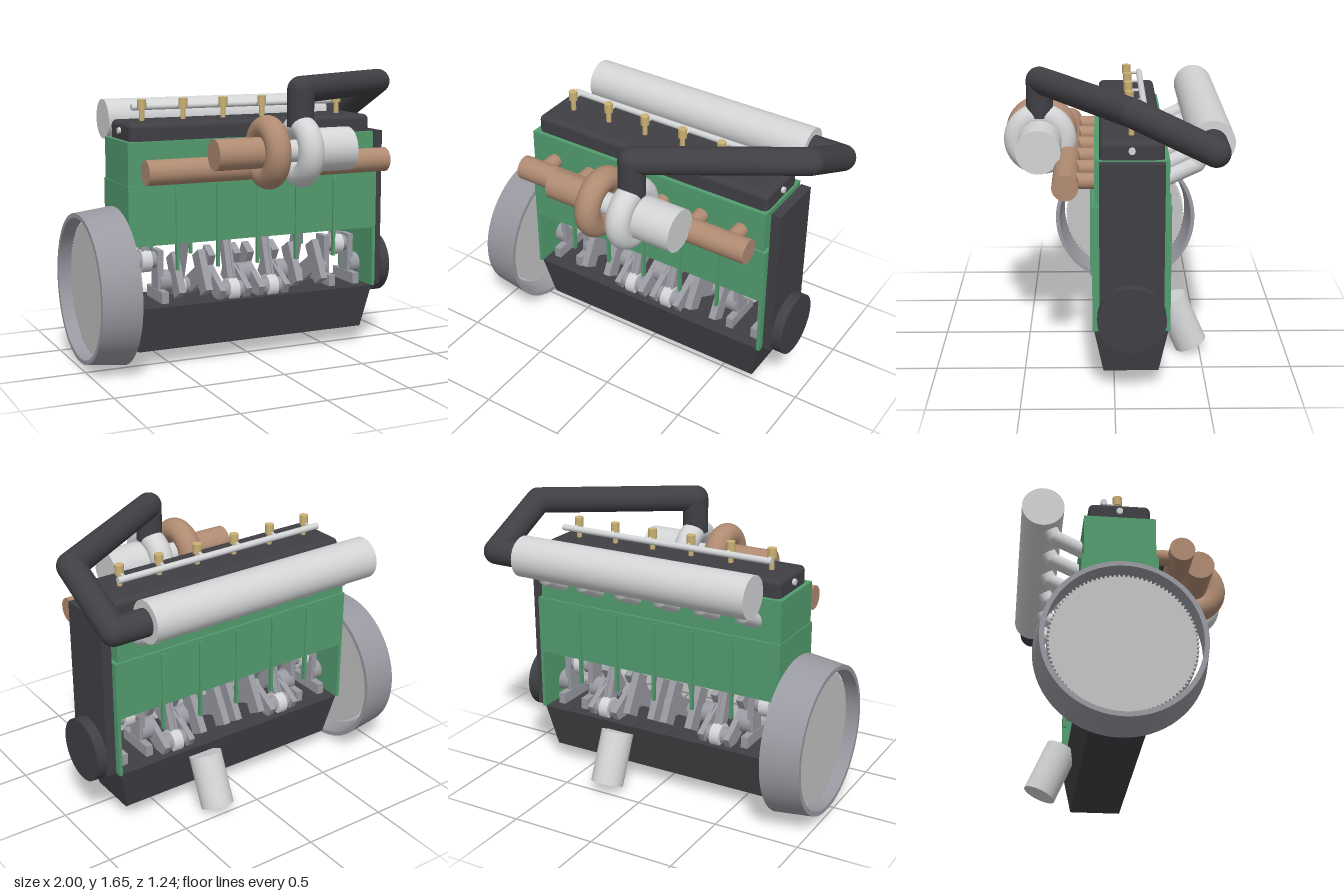
import * as THREE from 'three';
import { toCreasedNormals } from 'three/addons/utils/BufferGeometryUtils.js';
import { RoundedBoxGeometry } from 'three/addons/geometries/RoundedBoxGeometry.js';

const material = (name, color) => {
  const m = new THREE.MeshStandardMaterial({ color });
  m.name = name;
  return m;
};

export function createModel() {
  const green = material('green paint', 0x529c6e);
  const dark = material('dark metal', 0x403f44);
  const steel = material('steel', 0x9a9ba2);
  const pale = material('pale aluminium', 0xd2d4d5);
  const plate = material('flywheel grey', 0xc4c4c4);
  const copper = material('copper', 0xb08b72);
  const brass = material('brass', 0xcbb275);

  const engine = new THREE.Group();
  engine.name = 'engine';
  const CZ = -0.09;      // centre plane of the block
  const CRANK = 0.467;   // crankshaft height
  const cylinders = [0, 1, 2, 3, 4, 5].map(i => -0.61 + i * 0.249);
  const V = (x, y, z) => new THREE.Vector3(x, y, z);
  const UP = V(0, 1, 0);

  const add = (name, geometry, mat, parent = engine) => {
    const mesh = new THREE.Mesh(geometry, mat);
    mesh.name = name;
    parent.add(mesh);
    return mesh;
  };
  // Box given by its limits on each axis
  const box = (name, x0, x1, y0, y1, z0, z1, mat, parent) => {
    const m = add(name, new THREE.BoxGeometry(x1 - x0, y1 - y0, z1 - z0), mat, parent);
    m.position.set((x0 + x1) / 2, (y0 + y1) / 2, (z0 + z1) / 2);
    return m;
  };
  // Cylinder from point a to point b
  const rod = (name, a, b, r, mat, parent, sides = 40) => {
    const m = add(name, new THREE.CylinderGeometry(r, r, a.distanceTo(b), sides), mat, parent);
    m.position.copy(a).add(b).multiplyScalar(0.5);
    m.quaternion.setFromUnitVectors(UP, b.clone().sub(a).normalize());
    return m;
  };
  // Pipe of straight runs with ball joints
  const pipe = (name, points, r, mat) => {
    const g = new THREE.Group();
    g.name = name;
    engine.add(g);
    points.slice(1).forEach((p, i) => {
      rod('pipeRun', points[i], p, r, mat, g);
      if (i < points.length - 2) add('pipeJoint', new THREE.SphereGeometry(r, 32, 20), mat, g).position.copy(p);
    });
  };

  // Block with six bores
  const outline = new THREE.Shape([
    [-0.77, CZ - 0.208], [0.80, CZ - 0.208], [0.80, CZ + 0.208], [-0.77, CZ + 0.208],
  ].map(p => new THREE.Vector2(...p)));
  cylinders.forEach(x => outline.holes.push(new THREE.Path().absarc(x, CZ, 0.113, 0, Math.PI * 2, true)));
  const blockGeometry = new THREE.ExtrudeGeometry(outline, { depth: 0.34, bevelEnabled: false, curveSegments: 32 });
  blockGeometry.rotateX(Math.PI / 2);
  add('block', blockGeometry, green).position.y = 1.06;
  box('rearEndPlate', -0.77, -0.75, 0.36, 0.72, CZ - 0.208, CZ + 0.208, green);
  box('frontEndPlate', 0.78, 0.80, 0.36, 0.72, CZ - 0.208, CZ + 0.208, green);
  for (let i = 0; i < 5; i++) {
    const x = (cylinders[i] + cylinders[i + 1]) / 2;
    for (const s of [-1, 1]) {
      const z = CZ + s * 0.208;
      box('blockRib', x - 0.008, x + 0.008, 0.57, 1.04, z - 0.012, z + 0.012, green);
    }
  }
  box('cylinderHead', -0.765, 0.78, 1.06, 1.30, CZ - 0.196, CZ + 0.196, green);
  add('valveCover', new RoundedBoxGeometry(1.51, 0.16, 0.34, 4, 0.03), dark).position.set(0.015, 1.32, CZ);
  rod('camshaft', V(-0.755, 1.35, CZ), V(0.785, 1.35, CZ), 0.018, pale);
  box('timingCover', 0.80, 0.858, 0.36, 1.30, CZ - 0.17, CZ + 0.17, dark);
  rod('crankPulley', V(0.858, CRANK, CZ), V(0.92, CRANK, CZ), 0.182, dark, engine, 64);

  // Oil pan, narrower towards its floor
  const panGeometry = new THREE.BoxGeometry(1.533, 0.26, 0.4);
  const pos = panGeometry.attributes.position;
  for (let i = 0; i < pos.count; i++) {
    if (pos.getY(i) < 0) pos.setXYZ(i, pos.getX(i) * 0.937, pos.getY(i), pos.getZ(i) * 0.75);
  }
  panGeometry.computeVertexNormals();
  add('oilPan', panGeometry, dark).position.set(0.0165, 0.23, CZ);
  rod('oilFilter', V(0.248, 0.325, -0.325), V(0.248, 0.043, -0.45), 0.095, pale);

  // Crankshaft, connecting rods and pistons
  const THROW = 0.13;
  rod('crankshaft', V(-0.9, CRANK, CZ), V(cylinders[0] - 0.08, CRANK, CZ), 0.063, steel);
  rod('crankNose', V(cylinders[5] + 0.08, CRANK, CZ), V(0.86, CRANK, CZ), 0.063, steel);
  cylinders.forEach((x, i) => {
    if (i < 5) rod('mainJournal', V(x + 0.08, CRANK, CZ), V(cylinders[i + 1] - 0.08, CRANK, CZ), 0.063, steel);
    const angle = [0, -1, 1, 1, -1, 0][i] * Math.PI * 2 / 3;
    const crank = new THREE.Group();
    crank.name = 'crankThrow';
    crank.position.set(x, CRANK, CZ);
    crank.rotation.x = angle;
    engine.add(crank);
    for (const s of [-0.082, 0.082]) {
      box('crankWeb', s - 0.018, s + 0.018, -0.05, 0.19, -0.052, 0.052, steel, crank);
      box('counterweight', s - 0.021, s + 0.021, -0.14, -0.04, -0.125, 0.125, steel, crank);
    }
    rod('crankPin', V(-0.08, THROW, 0), V(0.08, THROW, 0), 0.048, steel, crank);

    const pin = V(x, CRANK + THROW * Math.cos(angle), CZ + THROW * Math.sin(angle));
    const base = 0.895 - THROW * (1 - Math.cos(angle));
    const wrist = V(x, base + 0.04, CZ);
    const off = V(0.03, 0, 0);
    rod('rodBigEnd', pin.clone().sub(off), pin.clone().add(off), 0.068, pale);
    const web = add('connectingRod', new THREE.BoxGeometry(0.022, pin.distanceTo(wrist), 0.05), steel);
    web.position.copy(pin).add(wrist).multiplyScalar(0.5);
    web.quaternion.setFromUnitVectors(UP, wrist.clone().sub(pin).normalize());
    for (const s of [-0.018, 0.018]) {
      const flange = add('rodFlange', new THREE.BoxGeometry(0.014, pin.distanceTo(wrist), 0.064), steel);
      flange.position.copy(web.position);
      flange.position.x += s;
      flange.quaternion.copy(web.quaternion);
    }
    rod('piston', V(x, base, CZ), V(x, base + 0.15, CZ), 0.109, pale);
  });

  // Flywheel with toothed rim inside an open, flared housing
  const teeth = 100;
  const rim = [];
  for (let i = 0; i < teeth * 4; i++) {
    const a = i / (teeth * 4) * Math.PI * 2;
    const r = i % 4 < 2 ? 0.387 : 0.374;
    rim.push(new THREE.Vector2(Math.cos(a) * r, Math.sin(a) * r));
  }
  const wheel = new THREE.ExtrudeGeometry(new THREE.Shape(rim), { depth: 0.07, bevelEnabled: false });
  wheel.rotateY(Math.PI / 2);
  add('flywheel', wheel, plate).position.set(-0.93, CRANK, CZ);
  const profile = [[0.454, 0.78], [0.428, 1], [0.402, 1], [0.43, 0.78], [0.454, 0.78]];
  const bell = new THREE.LatheGeometry(profile.map(p => new THREE.Vector2(...p)), 72);
  bell.rotateZ(Math.PI / 2);
  add('flywheelHousing', toCreasedNormals(bell, 0.5), steel).position.set(0, CRANK, CZ);

  // Exhaust and intake manifolds, fuel rail and injectors
  rod('exhaustManifold', V(-0.72, 1.15, 0.257), V(0.77, 1.15, 0.257), 0.07, copper);
  rod('intakePlenum', V(-0.705, 1.38, -0.507), V(0.735, 1.38, -0.507), 0.117, pale, engine, 56);
  rod('fuelRail', V(-0.645, 1.47, -0.168), V(0.69, 1.47, -0.168), 0.018, pale);
  cylinders.forEach(x => {
    rod('exhaustRunner', V(x, 1.15, 0.08), V(x, 1.15, 0.257), 0.043, copper);
    pipe('intakeRunner', [V(x, 1.165, -0.275), V(x, 1.24, -0.435), V(x, 1.38, -0.507)], 0.042, pale);
    rod('injectorStem', V(x, 1.38, CZ), V(x, 1.47, CZ), 0.015, brass, engine, 12);
    rod('injectorCap', V(x, 1.465, CZ), V(x, 1.52, CZ), 0.026, brass, engine, 10);
    rod('fuelFeed', V(x, 1.47, CZ), V(x, 1.47, -0.168), 0.009, pale, engine, 12);
  });

  // Turbocharger
  const TY = 1.247, TZ = 0.41;
  for (const [name, x, mat] of [['turbineHousing', -0.065, copper], ['compressorHousing', 0.135, pale]]) {
    const scroll = add(name, new THREE.TorusGeometry(0.134, 0.07, 28, 56), mat);
    scroll.position.set(x, TY, TZ);
    scroll.rotation.y = Math.PI / 2;
  }
  rod('exhaustOutlet', V(-0.385, TY, TZ), V(-0.05, TY, TZ), 0.086, copper);
  rod('turboShaftHousing', V(-0.06, TY, TZ), V(0.14, TY, TZ), 0.062, pale);
  rod('airInlet', V(0.135, TY, TZ), V(0.435, TY, TZ), 0.122, pale);
  pipe('chargePipe', [
    V(0.135, 1.38, TZ), V(0.135, 1.583, TZ), V(0.92, 1.583, CZ), V(0.92, 1.38, -0.507), V(0.72, 1.38, -0.507),
  ], 0.075, dark);

  return engine;
}
